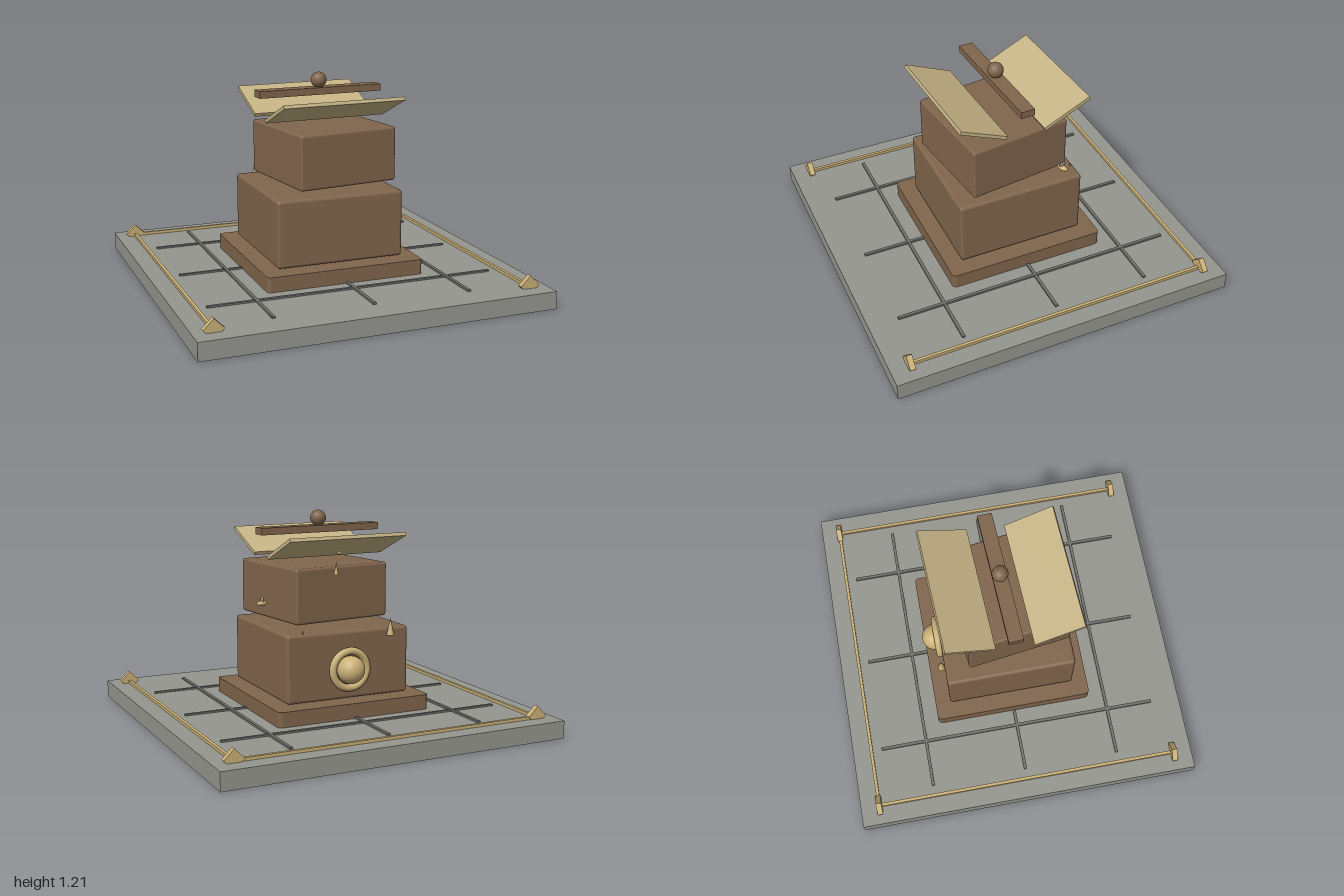
import * as THREE from 'three';
import { RoundedBoxGeometry } from 'three/addons/geometries/RoundedBoxGeometry.js';

const mat = (name, color) => {
  const m = new THREE.MeshStandardMaterial({ color });
  m.name = name;
  return m;
};

export function createModel() {
  const stone = mat('stone grey', 0x969690);
  const groove = mat('dark grey', 0x70706c);
  const wood = mat('brown wood', 0x80654c);
  const straw = mat('pale straw', 0xc6b486);
  const brass = mat('brass', 0xcab077);

  const model = new THREE.Group();
  const add = (name, geometry, material, x, y, z) => {
    const mesh = new THREE.Mesh(geometry, material);
    mesh.name = name;
    mesh.position.set(x, y, z);
    model.add(mesh);
    return mesh;
  };
  const box = (w, h, d) => new THREE.BoxGeometry(w, h, d);

  // Stone slab with thin paving lines
  add('slab', box(2, 0.1, 2), stone, 0, 0.05, 0);
  for (const p of [-0.557, 0, 0.557]) {
    add('pavingLineLengthwise', box(0.018, 0.012, 1.66), groove, p, 0.105, 0);
    add('pavingLineCrosswise', box(1.66, 0.012, 0.018), groove, 0, 0.104, p);
  }

  // Brass border on three sides, with a diamond block at each corner
  add('backRail', box(1.78, 0.018, 0.018), brass, 0, 0.108, -0.89);
  for (const s of [-1, 1]) {
    add('sideRail', box(0.018, 0.018, 1.78), brass, s * 0.89, 0.108, 0);
    for (const t of [-1, 1]) {
      const corner = add('cornerBlock', box(0.08, 0.08, 0.032), brass, s * 0.89, 0.116, t * 0.89);
      corner.rotation.z = Math.PI / 4;
    }
  }

  // Plinth with rounded upright corners
  const h = 0.462, r = 0.025;
  const outline = new THREE.Shape();
  outline.absarc(h - r, h - r, r, 0, Math.PI / 2);
  outline.absarc(r - h, h - r, r, Math.PI / 2, Math.PI);
  outline.absarc(r - h, r - h, r, Math.PI, Math.PI * 1.5);
  outline.absarc(h - r, r - h, r, Math.PI * 1.5, Math.PI * 2);
  const plinth = new THREE.ExtrudeGeometry(outline, { depth: 0.085, bevelEnabled: false, curveSegments: 5 });
  add('plinth', plinth.rotateX(-Math.PI / 2), wood, 0, 0.1, 0);

  // Two floating box tiers, the upper one turned
  add('lowerTier', new RoundedBoxGeometry(0.745, 0.382, 0.745, 3, 0.018), wood, 0, 0.384, 0);
  const upper = add('upperTier', new RoundedBoxGeometry(0.603, 0.308, 0.603, 3, 0.014), wood, 0.027, 0.769, 0.027);
  upper.rotation.y = 0.13;

  // Raised lid leaves, sloping down to the middle
  for (const s of [-1, 1]) {
    const leaf = add('lidLeaf', box(0.722, 0.02, 0.3), straw, 0.012, 1.032, s * 0.246);
    leaf.rotation.set(-s * 0.42, 0.048, 0, 'YXZ');
  }

  // Ridge beam and knob
  add('ridgeBeam', box(0.75, 0.04, 0.082), wood, 0.01, 1.108, 0).rotation.y = 0.05;
  add('knob', new THREE.SphereGeometry(0.045, 24, 16), wood, 0.01, 1.168, 0);

  // Brass ring and dome on the back
  add('backRing', new THREE.TorusGeometry(0.104, 0.021, 12, 36), brass, 0, 0.36, -0.385);
  add('backDome', new THREE.SphereGeometry(0.078, 28, 18), brass, 0, 0.36, -0.397);

  // Small floating spikes: x, centre y, z, radius, height
  const spikes = [
    [-0.25, 0.583, -0.39, 0.022, 0.1],
    [0.05, 0.918, -0.312, 0.013, 0.072],
    [0.27, 0.575, -0.35, 0.01, 0.05],
  ];
  for (const [x, y, z, radius, height] of spikes) {
    add('spike', new THREE.ConeGeometry(radius, height, 10), brass, x, y, z);
  }
  add('bead', new THREE.SphereGeometry(0.009, 10, 8), brass, 0.05, 1.005, -0.35);

  // Hovering oval piece with a small grey fin
  const oval = add('oval', new THREE.SphereGeometry(1, 16, 10), brass, 0.448, 0.735, -0.205);
  oval.scale.set(0.035, 0.014, 0.018);
  oval.rotation.y = 0.35;
  const fin = add('fin', new THREE.SphereGeometry(1, 12, 8), stone, 0.446, 0.757, -0.205);
  fin.scale.set(0.004, 0.016, 0.02);
  fin.rotation.y = 0.1;

  return model;
}
